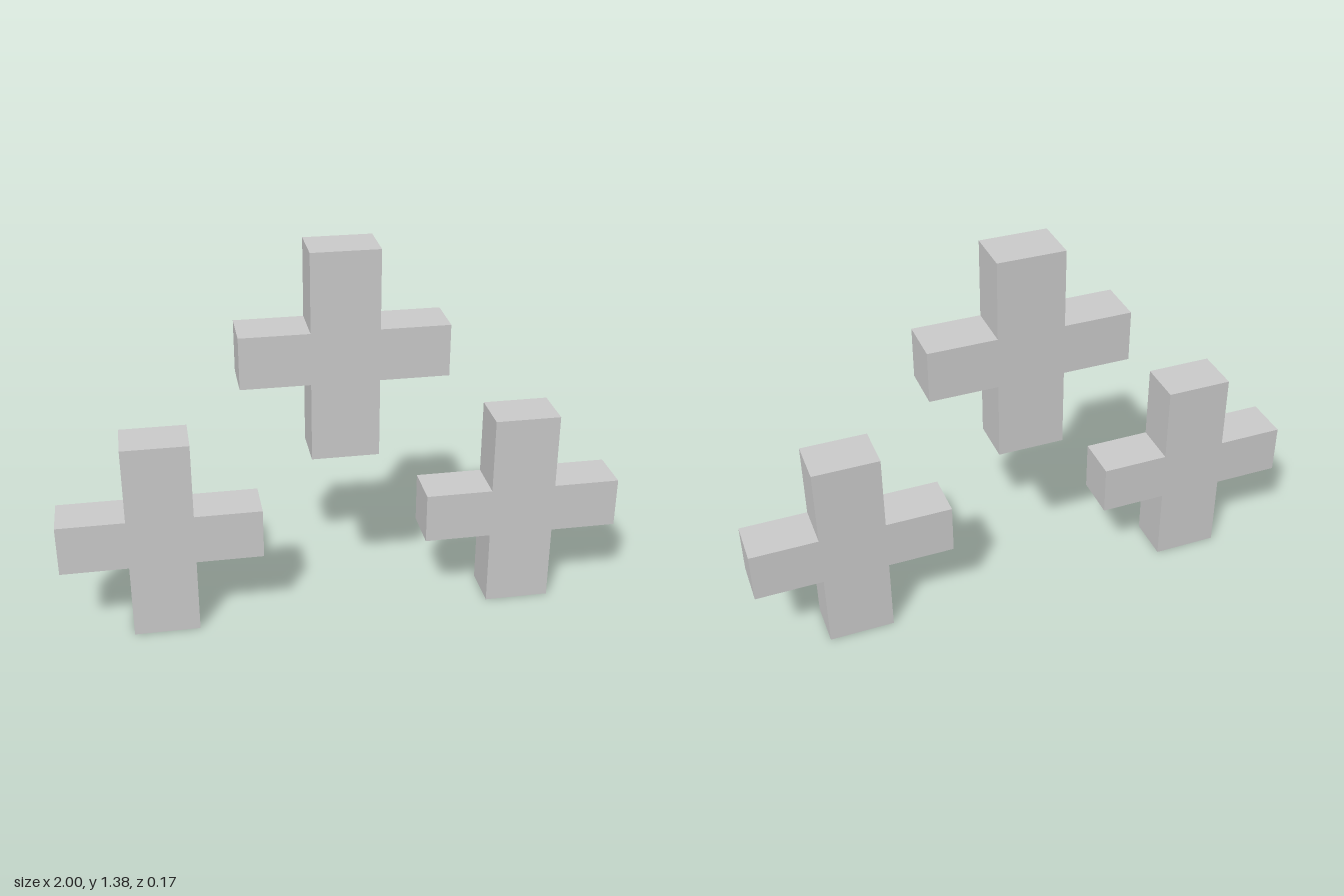
import * as THREE from 'three';

const WIDTH = 0.708, HEIGHT = 0.734, DEPTH = 0.165;
const POST = 0.233;                    // width of the upright
const ARM_LOW = 0.278, ARM_HIGH = 0.46; // underside and top of the arms

// Plus-shaped outline standing on y = 0, centred on x
function crossShape() {
  const w = WIDTH / 2, p = POST / 2;
  const points = [
    [-p, 0], [p, 0], [p, ARM_LOW], [w, ARM_LOW], [w, ARM_HIGH], [p, ARM_HIGH],
    [p, HEIGHT], [-p, HEIGHT], [-p, ARM_HIGH], [-w, ARM_HIGH], [-w, ARM_LOW], [-p, ARM_LOW],
  ];
  return new THREE.Shape(points.map(([x, y]) => new THREE.Vector2(x, y)));
}

export function createModel() {
  const model = new THREE.Group();
  model.name = 'threeCrosses';
  const material = new THREE.MeshStandardMaterial({ color: 0xcccccc });

  const geometry = new THREE.ExtrudeGeometry(crossShape(), { depth: DEPTH, bevelEnabled: false });
  geometry.translate(0, 0, -DEPTH / 2);

  // Two crosses below, one centred above
  const placements = [
    ['leftCross', 0.646, 0],
    ['rightCross', -0.646, 0],
    ['upperCross', -0.001, 0.647],
  ];
  for (const [name, x, y] of placements) {
    const cross = new THREE.Mesh(geometry, material);
    cross.name = name;
    cross.position.set(x, y, 0);
    model.add(cross);
  }
  return model;
}
